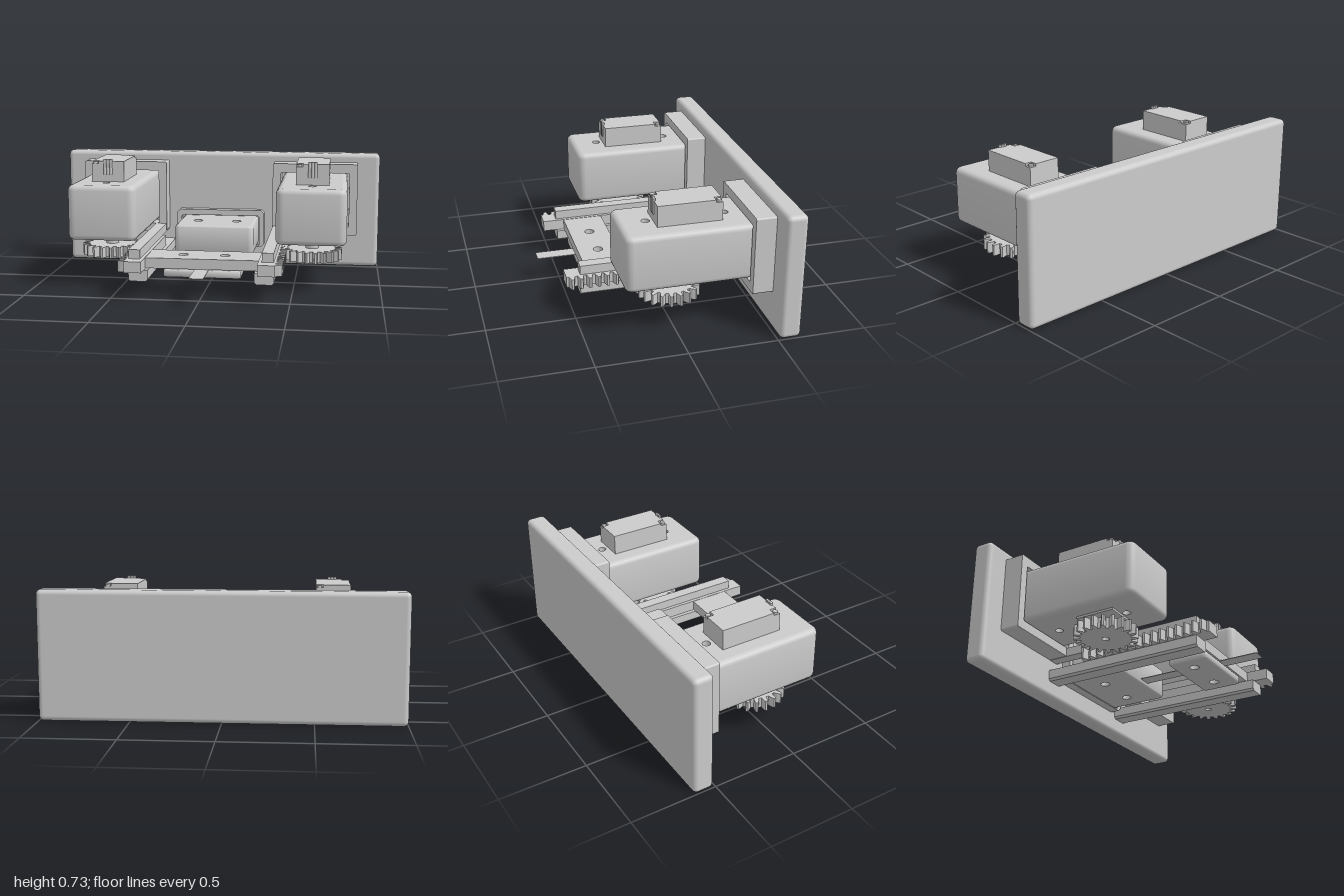
import * as THREE from 'three';
import { toCreasedNormals } from 'three/addons/utils/BufferGeometryUtils.js';
import { RoundedBoxGeometry } from 'three/addons/geometries/RoundedBoxGeometry.js';

const mat = new THREE.MeshStandardMaterial({ color: 0xcccccc });
const thin = new THREE.MeshStandardMaterial({ color: 0xcccccc, side: THREE.DoubleSide });

function add(parent, name, geo, material = mat) {
  const m = new THREE.Mesh(geo, material);
  m.name = name;
  parent.add(m);
  return m;
}

// Box given by its limits on each axis
function box(x0, x1, y0, y1, z0, z1) {
  return new THREE.BoxGeometry(x1 - x0, y1 - y0, z1 - z0)
    .translate((x0 + x1) / 2, (y0 + y1) / 2, (z0 + z1) / 2);
}

// Rounded rectangle outline
function roundRect(x0, x1, y0, y1, r) {
  const s = new THREE.Shape();
  const h = Math.PI / 2;
  s.absarc(x1 - r, y0 + r, r, -h, 0);
  s.absarc(x1 - r, y1 - r, r, 0, h);
  s.absarc(x0 + r, y1 - r, r, h, 2 * h);
  s.absarc(x0 + r, y0 + r, r, 2 * h, 3 * h);
  s.closePath();
  return s;
}

const circle = (x, y, r) => new THREE.Path().absarc(x, y, r, 0, Math.PI * 2, true);
const poly = pts => new THREE.Shape(pts.map(p => new THREE.Vector2(...p)));

// Plan outline (x, -z) raised from y0 to y1
function slab(shape, y0, y1) {
  return new THREE.ExtrudeGeometry(shape, { depth: y1 - y0, bevelEnabled: false, curveSegments: 8 })
    .rotateX(-Math.PI / 2).translate(0, y0, 0);
}

// Rounded block with straight holes drilled down through it; holes are [x, z, radius]
function drilledBlock(parent, name, [x0, x1, y0, y1, z0, z1], r, b, holes) {
  const g = new THREE.Group();
  g.name = name;
  parent.add(g);
  const full = new THREE.ExtrudeGeometry(roundRect(x0, x1, -z1, -z0, r), {
    depth: y1 - y0 - 2 * b, bevelThickness: b, bevelSize: b, bevelOffset: -b,
    bevelSegments: 4, curveSegments: 6
  });
  // keep the walls only; the lids are remade with holes
  const { start, count } = full.groups[1];
  const walls = new THREE.BufferGeometry();
  walls.setAttribute('position', new THREE.BufferAttribute(
    full.attributes.position.array.slice(start * 3, (start + count) * 3), 3));
  walls.rotateX(-Math.PI / 2).translate(0, y0 + b, 0);
  add(g, name + 'Walls', toCreasedNormals(walls, 0.7));
  const lid = roundRect(x0 + b, x1 - b, -z1 + b, -z0 - b, r - b);
  holes.forEach(([x, z, hr]) => lid.holes.push(circle(x, -z, hr)));
  for (const y of [y0, y1]) {
    add(g, name + 'Lid', new THREE.ShapeGeometry(lid, 6).rotateX(-Math.PI / 2).translate(0, y, 0), thin);
  }
  for (const [x, z, hr] of holes) {
    add(g, name + 'Hole', new THREE.CylinderGeometry(hr, hr, y1 - y0, 20, 1, true)
      .translate(x, (y0 + y1) / 2, z), thin);
  }
}

// Collar on the back plate with a clearance opening
function collar(outer, inner, z0, z1) {
  outer.holes.push(inner);
  return new THREE.ExtrudeGeometry(outer, { depth: z1 - z0, bevelEnabled: false }).translate(0, 0, z0);
}

function gearShape() {
  const n = 20, pts = [];
  for (let i = 0; i < n; i++) {
    for (const [f, r] of [[-0.3, 0.138], [-0.24, 0.158], [-0.11, 0.176], [0.11, 0.176], [0.24, 0.158], [0.3, 0.138]]) {
      const a = (i + 0.5 + f) / n * Math.PI * 2;
      pts.push([Math.cos(a) * r, Math.sin(a) * r]);
    }
  }
  const s = poly(pts);
  s.holes.push(circle(0, 0, 0.02));
  return s;
}

// Rack outline, teeth towards side (-1 or 1)
function rackShape(side) {
  const pts = [[0.32, 0.27], [0.32, -0.53], [0.418, -0.53]];
  for (let k = 10; k >= -5; k--) {
    const y = -k * 0.05;
    pts.push([0.418, y - 0.017], [0.44, y - 0.012], [0.456, y - 0.006],
      [0.456, y + 0.006], [0.44, y + 0.012], [0.418, y + 0.017]);
  }
  pts.push([0.418, 0.27]);
  return poly(pts.map(([x, y]) => [x * side, y]));
}

// Motor unit, built around its own output shaft
function motorUnit(x) {
  const g = new THREE.Group();
  g.name = 'motorUnit';
  g.position.x = x;
  drilledBlock(g, 'housing', [-0.2, 0.2, 0.28, 0.6, -0.57, 0.285], 0.045, 0.03,
    [[0, -0.31, 0.023], [0, 0.13, 0.023]]);
  add(g, 'motorBody', box(-0.096, 0.096, 0.55, 0.705, -0.27, 0.09));
  // cap with two notched corners that hold screws
  const n = 0.04;
  add(g, 'motorCap', slab(poly([[-0.096 + n, -0.09], [0.096, -0.09], [0.096, 0.27 - n], [0.096 - n, 0.27 - n],
    [0.096 - n, 0.27], [-0.096, 0.27], [-0.096, -0.09 + n], [-0.096 + n, -0.09 + n]]), 0.705, 0.72));
  for (const [sx, sz] of [[0.077, -0.252], [-0.077, 0.071]]) {
    add(g, 'capScrew', new THREE.CylinderGeometry(0.014, 0.014, 0.012, 16).translate(sx, 0.711, sz));
  }
  // three-wire cable outlet
  for (const wx of [-0.018, 0, 0.018]) {
    add(g, 'cableWire', new THREE.CylinderGeometry(0.009, 0.009, 0.09, 10).translate(wx, 0.688, 0.087));
  }
  add(g, 'motorFoot', box(-0.096, 0.096, 0.268, 0.3, -0.13, 0.1));
  add(g, 'shaft', new THREE.CylinderGeometry(0.038, 0.038, 0.07, 20).translate(0, 0.245, 0));
  add(g, 'gear', slab(gearShape(), 0.155, 0.218));
  return g;
}

export function createModel() {
  const model = new THREE.Group();
  model.name = 'rackGripper';

  add(model, 'backPlate', new RoundedBoxGeometry(2, 0.72, 0.12, 4, 0.028).translate(0, 0.36, -0.57));

  for (const s of [-1, 1]) {
    // motor and its collar
    const x = s * 0.6;
    model.add(motorUnit(x));
    add(model, 'motorCollar', collar(roundRect(x - 0.263, x + 0.263, 0.22, 0.665, 0.01),
      roundRect(x - 0.213, x + 0.213, 0.272, 0.61, 0.01), -0.52, -0.395));

    // rack running between two rails
    add(model, 'rack', slab(rackShape(s), 0.155, 0.218));
    const span = (a, b) => s < 0 ? [-b, -a] : [a, b];
    add(model, 'upperRail', box(...span(0.34, 0.406), 0.218, 0.27, -0.53, 0.45));
    const [a, b] = span(0.298, 0.408), c = 0.012;
    add(model, 'lowerRail', new THREE.ExtrudeGeometry(
      poly([[a, 0.155], [a, 0.09 + c], [a + c, 0.09], [b - c, 0.09], [b, 0.09 + c], [b, 0.155]]),
      { depth: 0.98, bevelEnabled: false }).translate(0, 0, -0.53));
  }

  // fixed clamp block on the back plate
  drilledBlock(model, 'fixedClamp', [-0.24, 0.24, 0.13, 0.31, -0.55, -0.115], 0.03, 0.018,
    [[-0.12, -0.31, 0.028], [0.12, -0.31, 0.028]]);
  add(model, 'clampCollar', collar(
    poly([[-0.28, 0.14], [-0.26, 0.12], [0.26, 0.12], [0.28, 0.14], [0.28, 0.335], [0.26, 0.355], [-0.26, 0.355], [-0.28, 0.335]]),
    roundRect(-0.25, 0.25, 0.125, 0.32, 0.015), -0.52, -0.457));

  // moving bridge between the racks with its lower clamp
  const bridge = roundRect(-0.325, 0.325, -0.405, -0.17, 0.002);
  bridge.holes.push(circle(-0.12, -0.285, 0.028), circle(0.12, -0.285, 0.028));
  add(model, 'bridge', slab(bridge, 0.157, 0.216));
  drilledBlock(model, 'bridgeClamp', [-0.22, 0.22, 0.108, 0.152, 0.17, 0.405], 0.02, 0.01,
    [[-0.12, 0.285, 0.028], [0.12, 0.285, 0.028]]);

  // thin strip through both clamps
  add(model, 'strip', box(-0.04, 0.04, 0.153, 0.157, -0.42, 0.63));

  return model;
}
